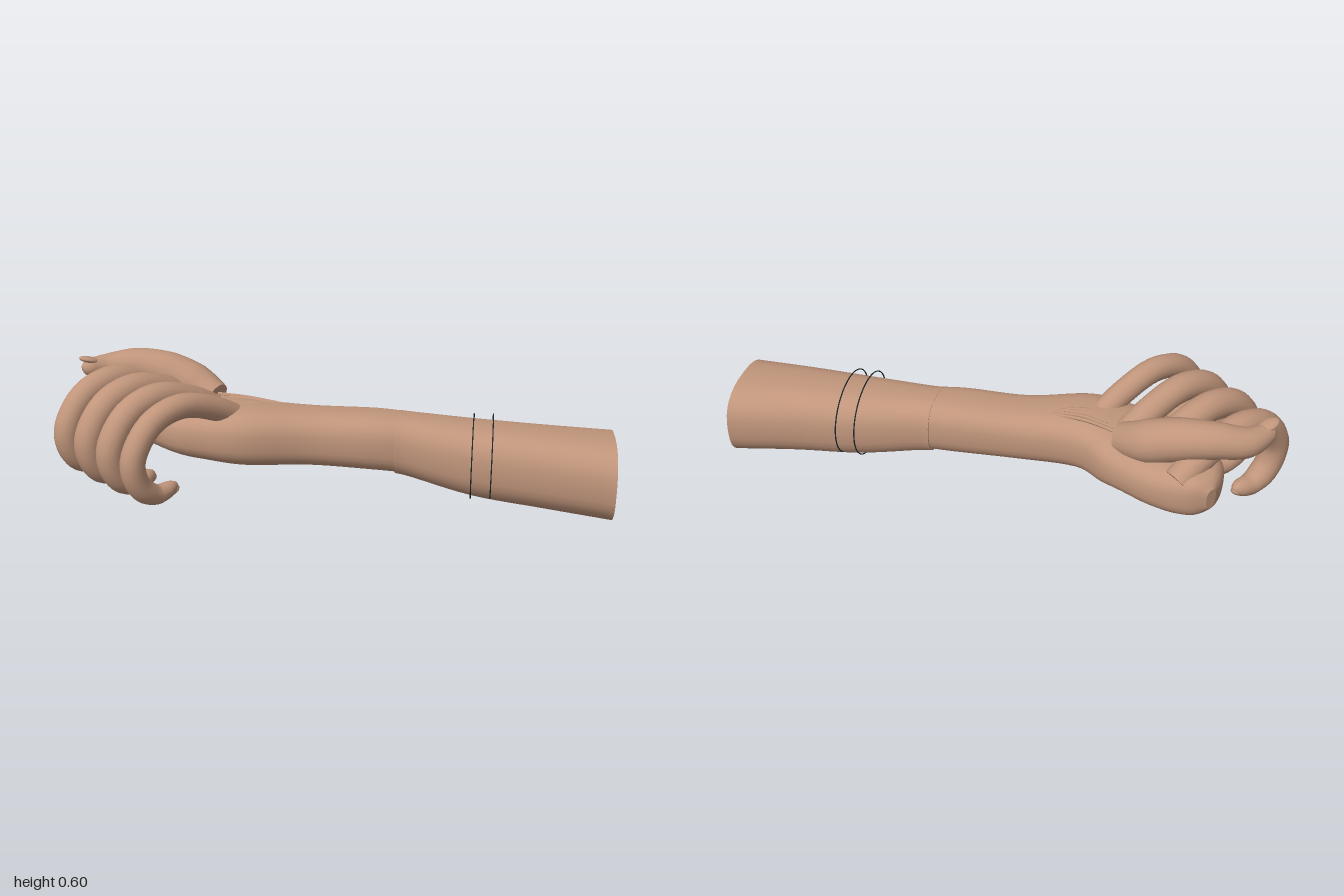
import * as THREE from 'three';

const V = (x, y, z) => new THREE.Vector3(x, y, z);

// Skin a list of equal-length point rings, smooth along the side, with flat end caps
function loft(rings) {
  const n = rings[0].length, pos = [], idx = [];
  const add = p => pos.push(p.x, p.y, p.z) / 3 - 1;
  rings.forEach(r => r.forEach(add));
  for (let i = 0; i < rings.length - 1; i++) {
    for (let j = 0; j < n; j++) {
      const a = i * n + j, b = i * n + (j + 1) % n;
      idx.push(a, b, a + n, b, b + n, a + n);
    }
  }
  [rings[0], rings[rings.length - 1]].forEach((r, end) => {
    const c = add(r.reduce((s, p) => s.add(p), V(0, 0, 0)).divideScalar(n));
    const first = pos.length / 3;
    r.forEach(add);
    for (let j = 0; j < n; j++) {
      const a = first + j, b = first + (j + 1) % n;
      end ? idx.push(c, a, b) : idx.push(c, b, a);
    }
  });
  // Turn the faces outward if the enclosed volume comes out negative
  const at = i => V(pos[3 * i], pos[3 * i + 1], pos[3 * i + 2]);
  let volume = 0;
  for (let i = 0; i < idx.length; i += 3) volume += at(idx[i]).dot(at(idx[i + 1]).cross(at(idx[i + 2])));
  if (volume < 0) idx.reverse();
  const g = new THREE.BufferGeometry();
  g.setAttribute('position', new THREE.Float32BufferAttribute(pos, 3));
  g.setIndex(idx);
  g.computeVertexNormals();
  return g;
}

// Limb from sections [leftX, leftZ, rightX, rightZ, bottom, top], rounded-box in cross-section
function limb(sections, steps, power) {
  const left = new THREE.CatmullRomCurve3(sections.map(s => V(s[0], s[4], s[1])), false, 'catmullrom');
  const right = new THREE.CatmullRomCurve3(sections.map(s => V(s[2], s[5], s[3])), false, 'catmullrom');
  const bend = c => Math.sign(c) * Math.abs(c) ** power;
  const rings = [];
  for (let i = 0; i <= steps; i++) {
    const l = left.getPoint(i / steps), r = right.getPoint(i / steps), ring = [];
    for (let j = 0; j < 32; j++) {
      const a = j / 32 * Math.PI * 2;
      const u = 0.5 + bend(Math.cos(a)) / 2, v = 0.5 + bend(Math.sin(a)) / 2;
      ring.push(V(l.x + (r.x - l.x) * u, l.y + (r.y - l.y) * v, l.z + (r.z - l.z) * u));
    }
    rings.push(ring);
  }
  return loft(rings);
}

// Tapered tube through points, with a rounded tip
function digit(points, radii, steps = 40, sides = 16) {
  const curve = new THREE.CatmullRomCurve3(points);
  const frames = curve.computeFrenetFrames(steps * 4);
  const rings = [];
  for (let i = 0; i <= steps; i++) {
    const k = Math.round((1 - (1 - i / steps) ** 1.6) * steps * 4), t = k / (steps * 4);
    const f = Math.min(t * (radii.length - 1), radii.length - 1.0001), m = Math.floor(f);
    const dome = t > 0.94 ? Math.sqrt(Math.max(0.002, 1 - ((t - 0.94) / 0.06) ** 2)) : 1;
    const r = THREE.MathUtils.lerp(radii[m], radii[m + 1], f - m) * dome;
    const c = curve.getPointAt(t);
    rings.push(Array.from({ length: sides }, (_, j) => {
      const a = j / sides * Math.PI * 2;
      return c.clone().addScaledVector(frames.normals[k], r * Math.cos(a))
        .addScaledVector(frames.binormals[k], r * Math.sin(a));
    }));
  }
  return loft(rings);
}

export function createModel() {
  const skin = new THREE.MeshStandardMaterial({ color: 0xc0957b });
  skin.name = 'skin';
  const dark = new THREE.MeshStandardMaterial({ color: 0x1f2a2c });
  dark.name = 'dark wire';
  const model = new THREE.Group();
  const part = (name, geometry, material = skin) => {
    const mesh = new THREE.Mesh(geometry, material);
    mesh.name = name;
    model.add(mesh);
    return mesh;
  };

  // Forearm, wide at the cut end
  part('forearm', limb([
    [0.59, 1.0, 0.92, 0.72, 0.0, 0.35],
    [0.42, 0.76, 0.71, 0.52, 0.035, 0.368],
    [0.25, 0.51, 0.51, 0.31, 0.07, 0.385],
    [0.11, 0.28, 0.32, 0.12, 0.135, 0.405],
    [0.07, 0.23, 0.28, 0.07, 0.148, 0.41],
  ], 20, 0.78));

  // Wrist running into the palm
  part('palm', limb([
    [0.12, 0.27, 0.31, 0.13, 0.15, 0.402],
    [0.0, 0.16, 0.22, 0.0, 0.165, 0.415],
    [-0.18, -0.04, 0.03, -0.21, 0.178, 0.42],
    [-0.40, -0.20, -0.13, -0.41, 0.185, 0.44],
    [-0.51, -0.36, -0.15, -0.55, 0.19, 0.435],
    [-0.575, -0.50, -0.17, -0.65, 0.2, 0.43],
    [-0.58, -0.74, -0.20, -0.76, 0.205, 0.43],
    [-0.54, -0.86, -0.24, -0.85, 0.215, 0.43],
    [-0.47, -0.93, -0.29, -0.92, 0.24, 0.42],
    [-0.40, -0.965, -0.35, -0.965, 0.29, 0.385],
  ], 54, 0.75));

  // Four curled fingers with small nails
  [[-0.84, 0.06], [-0.67, 0.063], [-0.505, 0.06], [-0.34, 0.053]].forEach(([z, r], i) => {
    const path = [[-0.3, 0.375], [-0.44, 0.455], [-0.61, 0.505], [-0.76, 0.463], [-0.855, 0.33],
      [-0.835, 0.215], [-0.755, 0.153], [-0.645, 0.17]].map(([x, y]) => V(x, y, z));
    part('finger' + (i + 1), digit(path, [r, r, r, r, r, r * 0.95, r * 0.55]));
    const nail = part('fingerNail' + (i + 1), new THREE.SphereGeometry(1, 12, 8));
    nail.scale.set(0.03, 0.016, 0.024);
    nail.rotation.z = 0.5;
    nail.position.set(-0.668, 0.148, z);
  });

  // Thumb lying across the palm
  part('thumb', digit([V(-0.275, 0.41, -0.54), V(-0.30, 0.45, -0.64), V(-0.37, 0.505, -0.76),
    V(-0.46, 0.53, -0.87), V(-0.56, 0.525, -0.945), V(-0.69, 0.545, -0.96)],
  [0.07, 0.092, 0.088, 0.076, 0.062, 0.034]));
  const thumbNail = part('thumbNail', new THREE.SphereGeometry(1, 16, 10));
  thumbNail.scale.set(0.048, 0.014, 0.032);
  thumbNail.rotation.set(0, -0.15, -0.3);
  thumbNail.position.set(-0.655, 0.575, -0.955);

  // Fine tendons on the inner wrist
  [[-0.27, -0.53, -0.13], [-0.265, -0.46, -0.145], [-0.28, -0.35, -0.15]].forEach(([x, z, endX], i) => {
    const path = new THREE.CatmullRomCurve3([V(x, 0.432, z),
      V((x + endX) / 2 - 0.01, 0.436, (z - 0.25) / 2), V(endX, 0.421, -0.25)]);
    part('tendon' + (i + 1), new THREE.TubeGeometry(path, 16, 0.008, 8));
  });

  // Two thin wire bands looped around the forearm
  [[0.368, 0.41], [0.425, 0.47]].forEach(([x, z], i) => {
    const band = part('wireBand' + (i + 1), new THREE.TorusGeometry(1, 0.014, 6, 64), dark);
    band.scale.set(0.203, 0.178, 0.2);
    band.rotation.y = Math.atan2(0.26, 0.315);
    band.position.set(x, 0.235, z);
  });

  return model;
}
